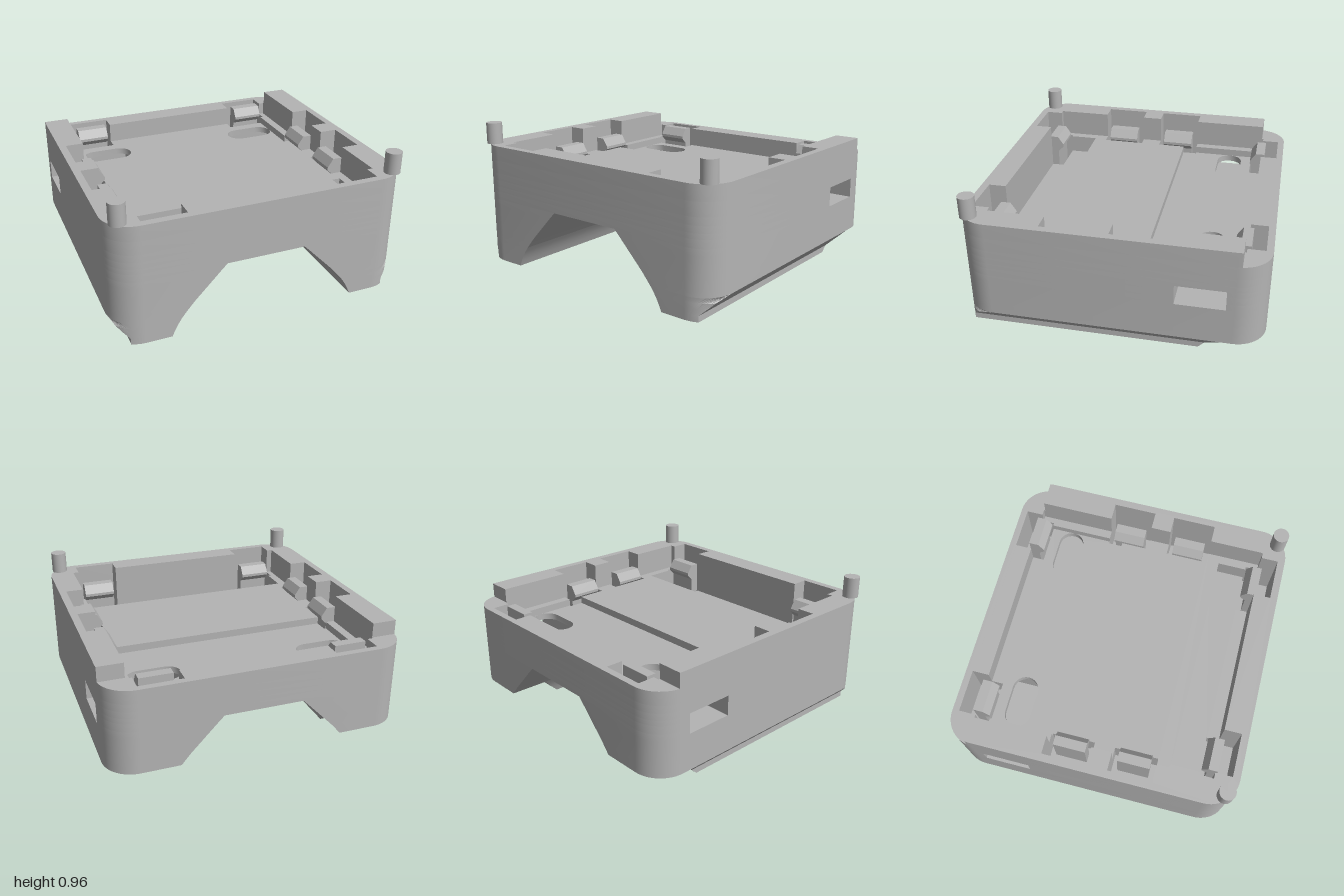
import * as THREE from 'three';
import { toCreasedNormals } from 'three/addons/utils/BufferGeometryUtils.js';

const shell = new THREE.MeshStandardMaterial({ color: 0xb4b4b4 });
shell.name = 'shell grey';

// Plan points are [x, z]
const arc = (cx, cz, r, a0, a1, n = 12) => Array.from({ length: n + 1 }, (_, i) => {
  const a = a0 + (a1 - a0) * i / n;
  return [cx + r * Math.cos(a), cz + r * Math.sin(a)];
});
const flip = pts => pts.map(([x, z]) => [-x, z]).reverse();
const mirror = pts => [...pts, ...flip(pts)];
const rect = (x0, x1, z0, z1) => [[x0, z0], [x1, z0], [x1, z1], [x0, z1]];
const both = holes => holes.flatMap(h => [h, flip(h)]);
const shapeOf = (pts, sign = 1) => new THREE.Shape(pts.map(([x, z]) => new THREE.Vector2(x, sign * z)));

function add(group, name, geo) {
  const mesh = new THREE.Mesh(geo, shell);
  mesh.name = name;
  group.add(mesh);
  return mesh;
}

// Horizontal layer between two heights, with holes
function slab(group, name, y0, y1, outline, holes = []) {
  const shape = shapeOf(outline, -1);
  shape.holes = holes.map(h => shapeOf(h, -1));
  const geo = new THREE.ExtrudeGeometry(shape, { depth: y1 - y0, bevelEnabled: false });
  geo.rotateX(-Math.PI / 2).translate(0, y0, 0);
  add(group, name, toCreasedNormals(geo, 0.5));
}

// Skin through convex plan sections [{ y, pts }], optionally capped
function loft(rings, side, capStart, capEnd) {
  const v = [];
  const R = rings.map(({ y, pts }) => (side < 0 ? flip(pts) : pts).map(([x, z]) => [x, y, z]));
  const n = R[0].length;
  for (let k = 0; k + 1 < R.length; k++) {
    for (let i = 0; i < n; i++) {
      const j = (i + 1) % n, a = R[k], b = R[k + 1];
      v.push(...a[i], ...a[j], ...b[j], ...a[i], ...b[j], ...b[i]);
    }
  }
  const first = R[0], last = R[R.length - 1];
  for (let i = 1; i + 1 < n; i++) {
    if (capStart) v.push(...first[0], ...first[i + 1], ...first[i]);
    if (capEnd) v.push(...last[0], ...last[i], ...last[i + 1]);
  }
  const geo = new THREE.BufferGeometry();
  geo.setAttribute('position', new THREE.Float32BufferAttribute(v, 3));
  return toCreasedNormals(geo, 0.5);
}

// Underside arch: [height, half width]
const arch = [[0, 0.63], [0.04, 0.613], [0.08, 0.592], [0.115, 0.57], [0.15, 0.544],
  [0.19, 0.51], [0.225, 0.48], [0.4, 0.31]];

const frontCorner = arc(0.8, 0.78, 0.2, Math.PI / 2, 0);
const backCorner = arc(0.8, -0.78, 0.2, 0, -Math.PI / 2);

function footRing(y, xin) {
  const xo = y <= 0.04 ? 0.89 : 0.89 + (y - 0.04);
  const end = Math.acos(Math.min(1, (xo - 0.8) / 0.2));
  return [[xin, 0.98], ...arc(0.8, 0.78, 0.2, Math.PI / 2, end), [xo, -0.56 - y], [xin, -0.56 - y]];
}

export function createModel() {
  const model = new THREE.Group();
  model.name = 'enclosureBase';

  for (const s of [1, -1]) {
    const label = s > 0 ? 'left' : 'right';

    // Foot with chamfered outer side, sloped back and a blind slot below
    const footRings = arch.filter(([y]) => y <= 0.15).map(([y, x]) => ({ y, pts: footRing(y, x) }));
    add(model, label + 'Foot', loft(footRings, s, false, false));
    const slot = [[0.72, 0.87], [0.79, 0.87], [0.79, 0.2], [0.72, 0.2]];
    const sole = shapeOf(footRings[0].pts.map(([x, z]) => [s * x, z]));
    sole.holes = [shapeOf(slot.map(([x, z]) => [s * x, z]))];
    add(model, label + 'Sole', new THREE.ShapeGeometry(sole).rotateX(Math.PI / 2));
    const inward = [...slot].reverse();
    add(model, label + 'FootSlot', loft([{ y: 0, pts: inward }, { y: 0.14, pts: inward }], s, false, true));

    // Lower side body beside the arch
    const sideRings = arch.filter(([y]) => y >= 0.15).map(([y, x]) => (
      { y, pts: [[x, 0.98], ...frontCorner, ...backCorner, [x, -0.98]] }));
    add(model, label + 'LowerBody', loft(sideRings, s, true, true));

    // Sloping wedge joining the side to the arch ceiling
    const wedge = new THREE.Shape([[0.265, 0.445], [0.31, 0.4], [0.31, 0.445]]
      .map(([x, y]) => new THREE.Vector2(s * x, y)));
    add(model, label + 'ArchWedge',
      new THREE.ExtrudeGeometry(wedge, { depth: 1.96, bevelEnabled: false }).translate(0, 0, -0.98));
  }

  // Clip wells, side window tunnels and cable slots
  const frontWell = rect(0.5, 0.79, 0.73, 0.93);
  const backWell = rect(0.5, 0.79, -0.935, -0.74);
  const sideWellA = rect(0.755, 0.95, -0.3, 0);
  const sideWellB = rect(0.755, 0.95, 0.14, 0.44);
  const wells = [frontWell, backWell, sideWellA, sideWellB];
  const windowCut = [[1, -0.41], [0.41, -0.41], [0.41, -0.73], [1, -0.73]];
  const cableSlot = [...arc(0.68, -0.575, 0.09, -Math.PI / 2, Math.PI / 2),
    ...arc(0.5, -0.575, 0.09, Math.PI / 2, Math.PI * 1.5)];
  const outline = mirror([...frontCorner, ...backCorner]);
  const cutHalf = [...frontCorner, ...windowCut, ...backCorner];

  // Recesses of the tray, merged with the wells they touch
  const frontRecess = mirror([[0.5, 0.815], [0.5, 0.93], [0.79, 0.93], [0.79, 0.73], [0.77, 0.73], [0.77, 0.53]]);
  const backRecess = mirror([[0.755, -0.2], [0.755, 0], [0.95, 0], [0.95, -0.3], [0.77, -0.3],
    [0.77, -0.74], [0.79, -0.74], [0.79, -0.935], [0.5, -0.935], [0.5, -0.82]]);
  const trayFront = [[0.83, -0.3], [0.95, -0.3], [0.95, 0], [0.83, 0], [0.83, 0.14], [0.95, 0.14],
    [0.95, 0.44], [0.83, 0.44], [0.83, 0.815], [0.79, 0.815], [0.79, 0.93], [0.5, 0.93], [0.5, 0.815]];
  const tray = mirror([[0.5, -0.82], [0.5, -0.935], [0.79, -0.935], [0.79, -0.82], [0.83, -0.82], ...trayFront]);

  // Stacked body layers
  const halfLayer = [[0.31, 0.98], ...cutHalf, [0.31, -0.98]];
  slab(model, 'leftWindowLayer', 0.4, 0.445, halfLayer, wells);
  slab(model, 'rightWindowLayer', 0.4, 0.445, flip(halfLayer), wells.map(flip));
  slab(model, 'archCeilingLayer', 0.445, 0.5, mirror(cutHalf), both(wells));
  slab(model, 'windowTopLayer', 0.5, 0.535, mirror(cutHalf),
    [frontRecess, ...both([backWell, sideWellA, sideWellB])]);
  slab(model, 'backFloorLayer', 0.535, 0.58, outline,
    [frontRecess, ...both([backWell, sideWellA, sideWellB, cableSlot])]);
  slab(model, 'trayFloorLayer', 0.58, 0.63, outline, [frontRecess, backRecess, ...both([sideWellB])]);
  slab(model, 'wallLayer', 0.63, 0.72, outline, [tray]);
  slab(model, 'upperWall', 0.72, 0.82,
    mirror([...frontCorner, [1, -0.78], [0.998, -0.81], [0.83, -0.81], ...trayFront].slice(0)));

  // Snap clips: profile runs outward from the hook tip
  const hook = new THREE.Shape([[0.04, 0.4], [0.105, 0.4], [0.105, 0.72], [0.04, 0.72], [0, 0.66],
    [0, 0.64], [0.04, 0.6]].map(([u, y]) => new THREE.Vector2(u, y)));
  const clipGeo = new THREE.ExtrudeGeometry(hook, { depth: 0.22, bevelEnabled: false }).translate(0, 0, -0.11);
  const clip = (name, x, z, turn) => {
    const mesh = add(model, name, clipGeo);
    mesh.position.set(x, 0, z);
    mesh.rotation.y = turn;
  };
  for (const s of [1, -1]) {
    clip('frontClip', s * 0.65, 0.735, -Math.PI / 2);
    clip('backClip', s * 0.65, -0.74, Math.PI / 2);
    for (const z of [-0.15, 0.29]) clip('sideClip', s * 0.75, z, s > 0 ? 0 : Math.PI);

    // Locating pin on the front corner
    add(model, 'cornerPin', new THREE.CylinderGeometry(0.054, 0.054, 0.145, 32))
      .position.set(s * 0.918, 0.8925, 0.905);
  }
  return model;
}
